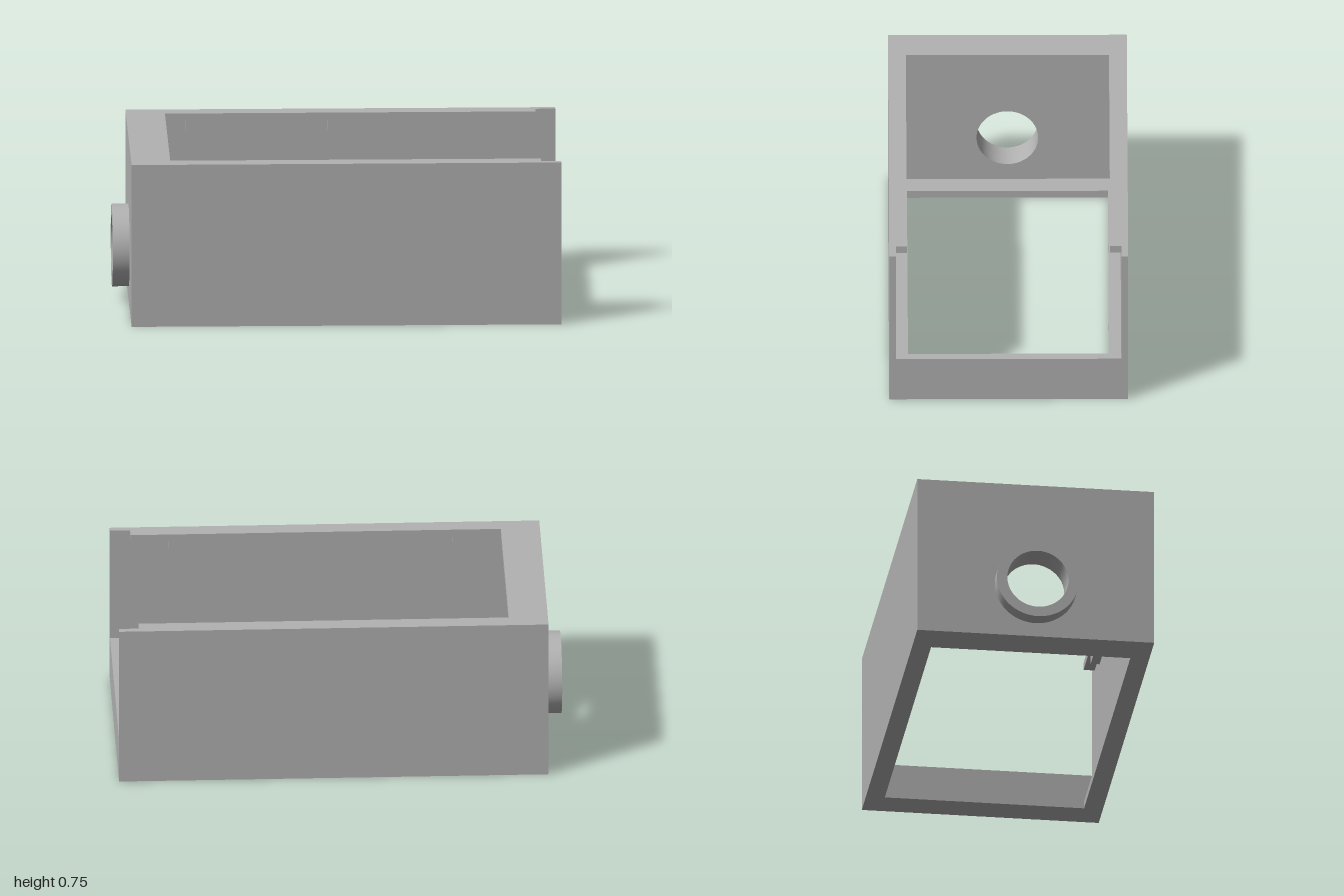
import * as THREE from 'three';
import { toCreasedNormals } from 'three/addons/utils/BufferGeometryUtils.js';

const X0 = -0.925, X1 = 1, H = 0.745, W = 0.535;   // casing bounds
const INX0 = -0.855, INX1 = 0.955, INW = 0.505;    // cavity bounds
const LIP = 0.035, OPEN = 0.455;                   // rim thickness, opening half width
const PIPE_Y = 0.25, PIPE_R = 0.185, BORE_R = 0.138;

export function createModel() {
  const model = new THREE.Group();
  model.name = 'openCasing';
  const grey = new THREE.MeshStandardMaterial({ color: 0xb2b2b2 });
  grey.name = 'plainGrey';

  function add(name, geometry) {
    const mesh = new THREE.Mesh(geometry, grey);
    mesh.name = name;
    model.add(mesh);
  }
  function box(name, x0, x1, y0, y1, z0, z1) {
    const g = new THREE.BoxGeometry(x1 - x0, y1 - y0, z1 - z0);
    add(name, g.translate((x0 + x1) / 2, (y0 + y1) / 2, (z0 + z1) / 2));
  }
  const polygon = (pts) => new THREE.Shape(pts.map(([x, y]) => new THREE.Vector2(x, y)));
  const rect = (x0, x1, y0, y1) => [[x0, y0], [x1, y0], [x1, y1], [x0, y1]];
  const circle = (path, r) => path.absarc(0, PIPE_Y, r, 0, Math.PI * 2, false);
  const extrude = (shape, depth) => toCreasedNormals(
    new THREE.ExtrudeGeometry(shape, { depth, bevelEnabled: false, curveSegments: 32 }), 0.5);
  const alongX = (shape, x0, x1) => extrude(shape, x1 - x0).rotateY(Math.PI / 2).translate(x0, 0, 0);
  const alongY = (shape, y0, y1) => extrude(shape, y1 - y0).rotateX(-Math.PI / 2).translate(0, y0, 0);

  // Closed end with the bore through it
  const endWall = polygon(rect(-W, W, 0, H));
  endWall.holes.push(circle(new THREE.Path(), BORE_R));
  add('pipeEndWall', alongX(endWall, X0, INX0));

  // Pipe stub
  const ring = circle(new THREE.Shape(), PIPE_R);
  ring.holes.push(circle(new THREE.Path(), BORE_R));
  add('pipeStub', alongX(ring, -1, X0));

  // Low wall at the open end
  box('lowEndWall', INX1, X1, 0, 0.21, -INW, INW);

  // Floor rim around the lower opening
  const floor = polygon(rect(INX0, INX1, -INW, INW));
  floor.holes.push(polygon(rect(-0.75, 0.855, -0.45, 0.45)));
  add('floorRim', alongY(floor, 0, LIP));

  // Top rim on three sides, stopping short of the open end
  const rim = polygon([
    [INX0, -INW], [0.91, -INW], [0.91, -OPEN], [-0.75, -OPEN],
    [-0.75, OPEN], [0.91, OPEN], [0.91, INW], [INX0, INW],
  ]);
  add('topRim', alongY(rim, H - LIP, H));

  // Side walls and the small tabs beneath the rim
  for (const [side, s] of [['front', 1], ['back', -1]]) {
    const zRange = (a, b) => (s > 0 ? [a, b] : [-b, -a]);
    box(side + 'Wall', INX0, X1, 0, H, ...zRange(INW, W));
    for (const x of [-0.597, 0.041, 0.679]) {
      box(side + 'Tab', x - 0.061, x + 0.061, 0.662, H - LIP, ...zRange(0.465, INW));
    }
  }
  return model;
}
